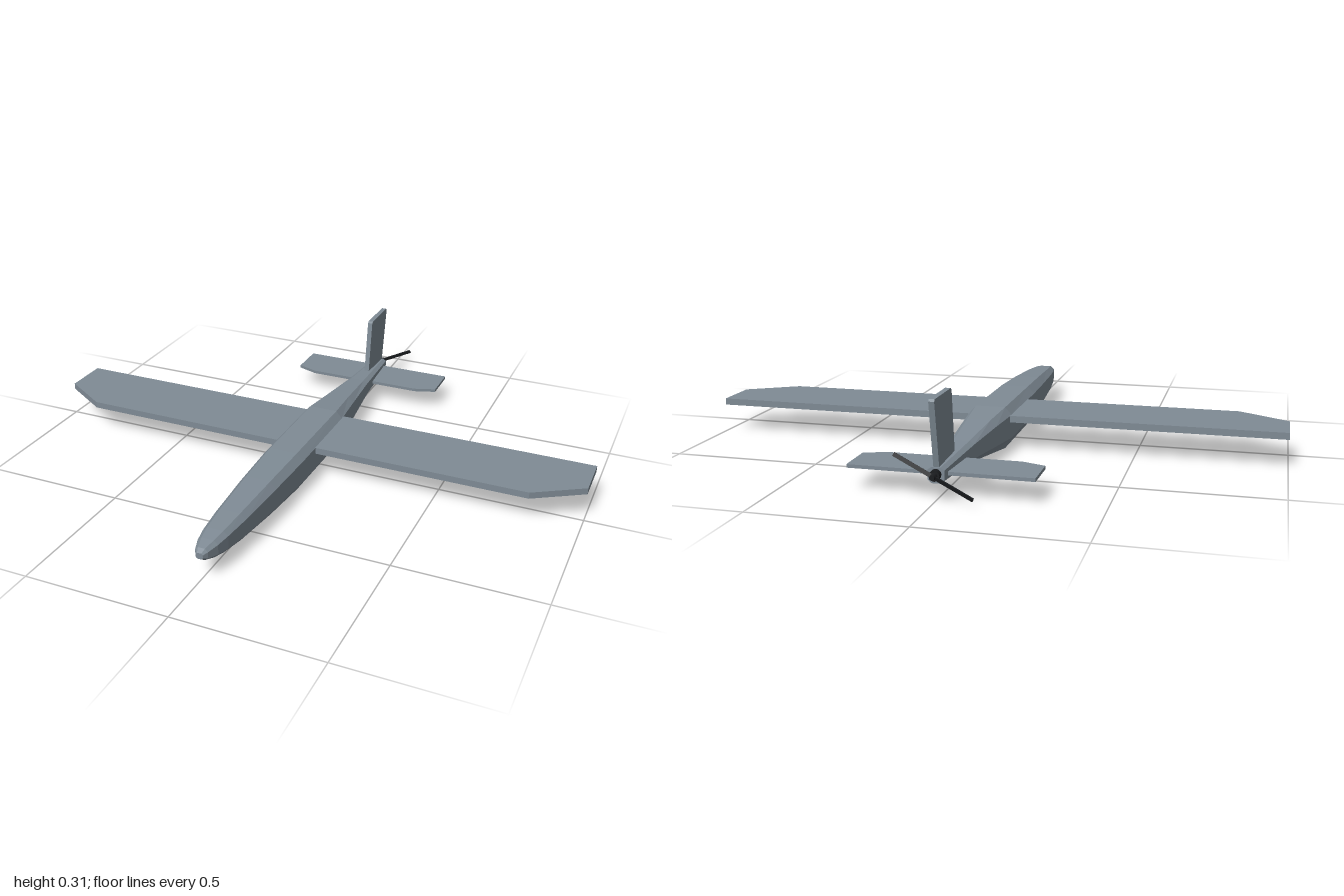
import * as THREE from 'three';

const mat = (name, color) => {
  const m = new THREE.MeshStandardMaterial({ color });
  m.name = name;
  return m;
};

// Faceted body lofted through octagonal cross-sections, nose to tail
function loft(stations) {
  const pos = [], idx = [], n = 8;
  for (const [z, w, flat, top, upper, lower, bottom] of stations) {
    const section = [[flat, top], [-flat, top], [-w, upper], [-w, lower],
      [-flat, bottom], [flat, bottom], [w, lower], [w, upper]];
    for (const [x, y] of section) pos.push(x, y, z);
  }
  const last = (stations.length - 1) * n;
  for (let i = 0; i < last; i += n) {
    for (let j = 0; j < n; j++) {
      const k = (j + 1) % n;
      idx.push(i + j, i + n + j, i + n + k, i + j, i + n + k, i + k);
    }
  }
  for (let j = 1; j < n - 1; j++) {
    idx.push(0, j, j + 1, last, last + j + 1, last + j);
  }
  const g = new THREE.BufferGeometry();
  g.setAttribute('position', new THREE.Float32BufferAttribute(pos, 3));
  g.setIndex(idx);
  const flatGeometry = g.toNonIndexed();
  flatGeometry.computeVertexNormals();
  return flatGeometry;
}

// Slab cut from an outline
function slab(points, depth) {
  const shape = new THREE.Shape(points.map(([x, y]) => new THREE.Vector2(x, y)));
  return new THREE.ExtrudeGeometry(shape, { depth, bevelEnabled: false });
}

// Horizontal surface with clipped front corners; half outline mirrored in x
function flyingSurface(half, top, depth) {
  const mirrored = half.map(([x, z]) => [-x, z]).reverse();
  return slab([...half, ...mirrored], depth).rotateX(Math.PI / 2).translate(0, top, 0);
}

export function createModel() {
  const model = new THREE.Group();
  model.name = 'drone';
  const grey = mat('airframe grey', 0x7f8b95);
  const black = mat('propeller black', 0x1b1d20);
  const yellow = mat('roundel yellow', 0xc8981c);
  const blue = mat('roundel blue', 0x1d4c88);

  const add = (name, geometry, material, parent = model) => {
    const mesh = new THREE.Mesh(geometry, material);
    mesh.name = name;
    parent.add(mesh);
    return mesh;
  };

  // Fuselage: z, half width, half flat width, top, upper edge, lower edge, bottom
  add('fuselage', loft([
    [0.805, 0.012, 0.007, 0.099, 0.094, 0.083, 0.078],
    [0.79, 0.022, 0.012, 0.109, 0.099, 0.077, 0.069],
    [0.75, 0.035, 0.021, 0.117, 0.104, 0.07, 0.056],
    [0.7, 0.044, 0.028, 0.123, 0.108, 0.064, 0.046],
    [0.6, 0.054, 0.035, 0.13, 0.111, 0.056, 0.032],
    [0.4, 0.066, 0.044, 0.14, 0.116, 0.046, 0.015],
    [0.2, 0.074, 0.05, 0.145, 0.119, 0.04, 0.003],
    [-0.15, 0.075, 0.052, 0.145, 0.119, 0.038, 0],
    [-0.3, 0.061, 0.04, 0.134, 0.114, 0.046, 0.018],
    [-0.5, 0.042, 0.026, 0.115, 0.104, 0.058, 0.043],
    [-0.762, 0.026, 0.014, 0.101, 0.093, 0.063, 0.052]
  ]), grey);

  // Wing and tailplane
  add('wing', flyingSurface([[1, -0.168], [1, -0.008], [0.83, 0.097]], 0.12, 0.023), grey);
  add('tailplane', flyingSurface([[0.292, -0.735], [0.292, -0.602], [0.215, -0.575]], 0.082, 0.011), grey);

  // Swept fin with slightly clipped top corners
  const fin = slab([[-0.755, 0.085], [-0.797, 0.305], [-0.791, 0.312],
    [-0.636, 0.312], [-0.629, 0.306], [-0.6, 0.085]], 0.018);
  add('fin', fin.rotateY(-Math.PI / 2).translate(0.009, 0, 0), grey);

  // Pusher motor and two-bladed propeller
  const propeller = new THREE.Group();
  propeller.name = 'propeller';
  propeller.position.set(0, 0.08, -0.79);
  propeller.rotation.z = 0.47;
  model.add(propeller);
  const alongZ = (r1, r2, h, z) =>
    new THREE.CylinderGeometry(r1, r2, h, 12).rotateX(-Math.PI / 2).translate(0, 0, z);
  add('motor', alongZ(0.017, 0.017, 0.022, 0.019), black, propeller);
  add('hub', alongZ(0.008, 0.011, 0.024, -0.001), black, propeller);
  for (const side of [1, -1]) {
    const blade = new THREE.BoxGeometry(0.135, 0.013, 0.004);
    blade.rotateX(side * 0.35).translate(side * 0.0675, 0, 0);
    add('blade', blade, black, propeller);
  }

  // Roundels under the wing
  for (const side of [1, -1]) {
    const place = g => g.rotateX(Math.PI / 2).translate(side * 0.315, 0.0955, -0.035);
    add('roundelRing', place(new THREE.RingGeometry(0.032, 0.062, 20)), yellow);
    add('roundelCentre', place(new THREE.CircleGeometry(0.032, 20)), blue);
  }

  return model;
}
